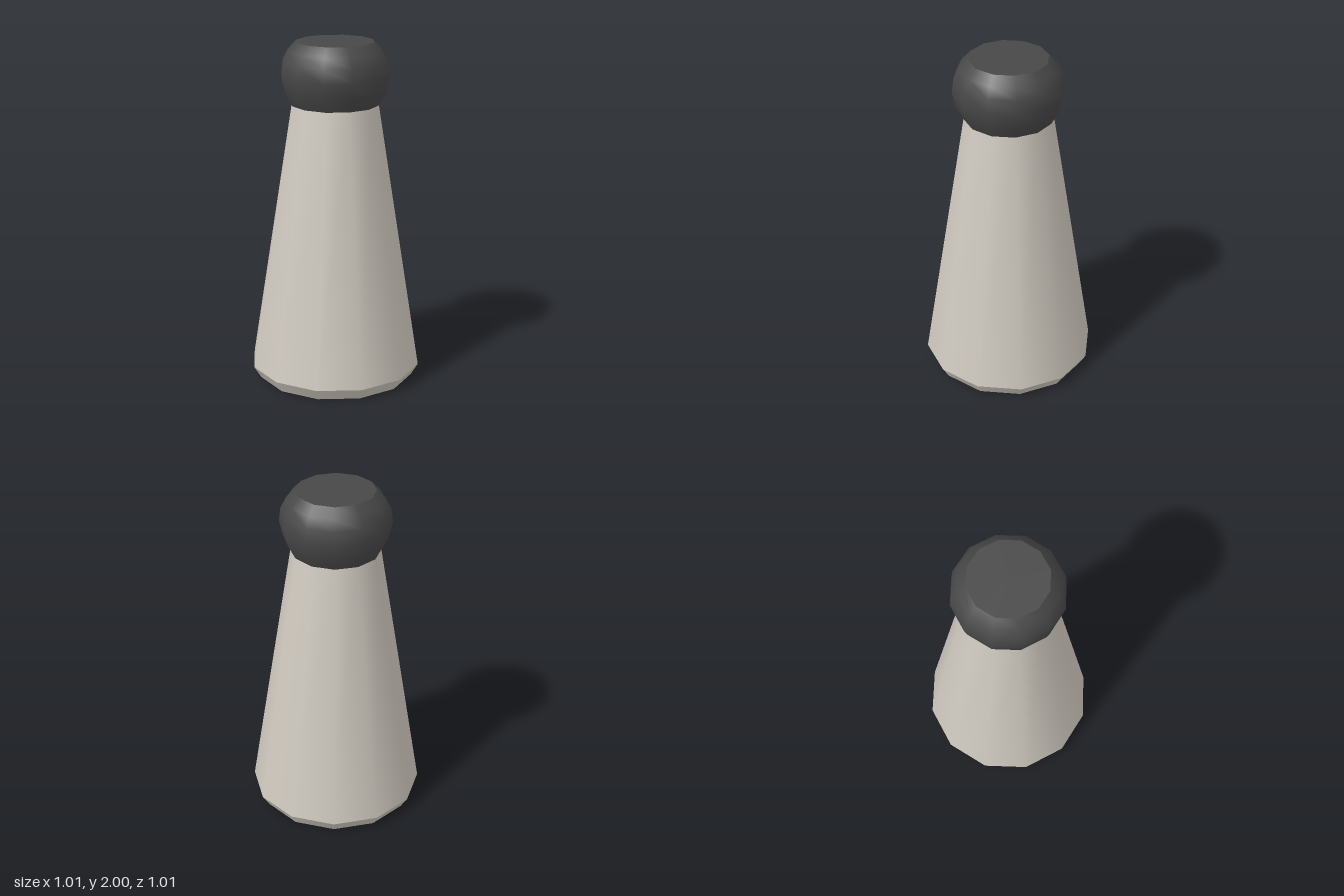
import * as THREE from 'three';

const SIDES = 12;

export function createModel() {
  const group = new THREE.Group();
  const pale = new THREE.MeshStandardMaterial({ color: 0xd0cac0 });
  const dark = new THREE.MeshStandardMaterial({ color: 0x484848 });

  const add = (name, geometry, material, y = 0) => {
    const mesh = new THREE.Mesh(geometry, material);
    mesh.name = name;
    mesh.position.y = y;
    group.add(mesh);
  };
  // Open tapered band between two heights
  const band = (rTop, rBottom, y0, y1) =>
    new THREE.CylinderGeometry(rTop, rBottom, y1 - y0, SIDES, 1, true).translate(0, (y0 + y1) / 2, 0);
  // Flat disc facing up (dir 1) or down (dir -1)
  const disc = (r, dir) => new THREE.CircleGeometry(r, SIDES).rotateX(-dir * Math.PI / 2);

  // Tapered body with a bevelled foot
  add('body', band(0.255, 0.507, 0.07, 1.64), pale);
  add('footBevel', band(0.507, 0.465, 0, 0.07), pale);
  add('footUnderside', disc(0.465, -1), pale);

  // Rounded head, cut flat on top
  const profile = [[0.255, 1.64], [0.297, 1.72], [0.317, 1.81], [0.307, 1.89], [0.275, 1.95], [0.226, 2]]
    .map(([r, y]) => new THREE.Vector2(r, y));
  add('head', new THREE.LatheGeometry(profile, SIDES), dark);
  add('headTop', disc(0.226, 1), dark, 2);
  return group;
}
